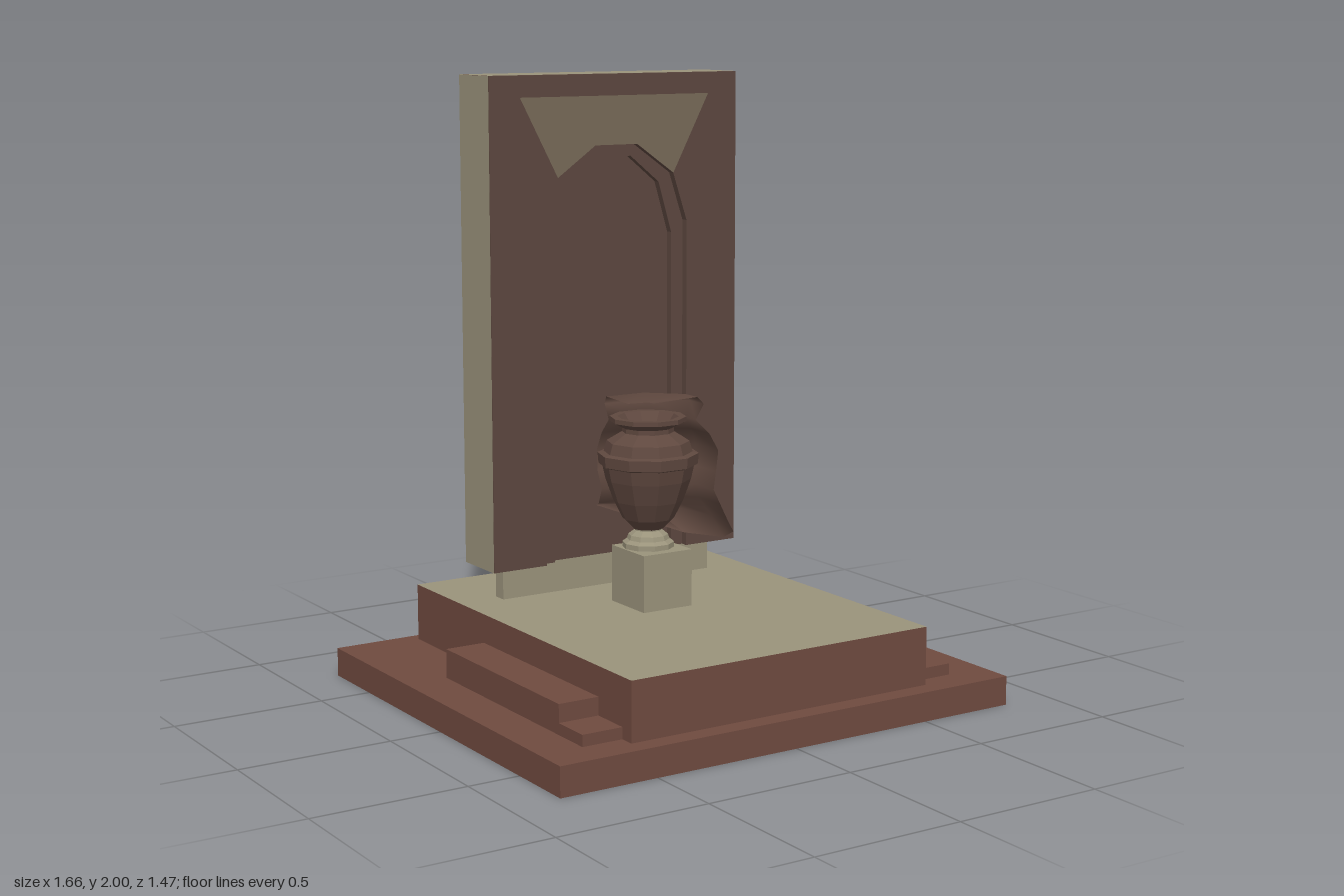
import * as THREE from 'three';

const mat = (color, extra = {}) =>
  new THREE.MeshStandardMaterial({ color, side: THREE.DoubleSide, ...extra });
const brick = mat(0x6f4a3f), stone = mat(0x9a937b), dark = mat(0x5c473f);
const blend = mat(0x776a58);
const vaseMat = mat(0x5f483f, { flatShading: true });
const footMat = mat(0x9a937b, { flatShading: true });
const clothMat = mat(0x5f483f);

const SIDES = [0, 1, 4, 5], TOP = [2];

export function createModel() {
  const model = new THREE.Group();

  const add = (name, geometry, material, parent = model) => {
    const mesh = new THREE.Mesh(geometry, material);
    mesh.name = name;
    parent.add(mesh);
    return mesh;
  };

  // Box given by its limits, keeping only the listed faces (+x -x +y -y +z -z)
  const box = (x0, x1, y0, y1, z0, z1, faces = [0, 1, 2, 3, 4, 5]) => {
    const g = new THREE.BoxGeometry(x1 - x0, y1 - y0, z1 - z0);
    const index = Array.from(g.index.array);
    g.setIndex(faces.flatMap(f => index.slice(f * 6, f * 6 + 6)));
    g.clearGroups();
    return g.translate((x0 + x1) / 2, (y0 + y1) / 2, (z0 + z1) / 2);
  };
  const polygon = pts => new THREE.Shape(pts.map(p => new THREE.Vector2(...p)));

  // Hollow base: rim walls and a top ring open under the platform
  add('baseSides', box(-0.83, 0.83, 0, 0.095, -0.735, 0.735, SIDES), brick);
  const ring = polygon([[-0.83, -0.735], [0.83, -0.735], [0.83, 0.735], [-0.83, 0.735]]);
  ring.holes.push(polygon([[-0.55, -0.67], [-0.55, 0.69], [0.55, 0.69], [0.55, -0.67]]));
  add('baseTop', new THREE.ShapeGeometry(ring).rotateX(-Math.PI / 2).translate(0, 0.095, 0), brick);

  // Platform, open below
  const platform = [-0.55, 0.55, 0.095, 0.285, -0.69, 0.67];
  add('platformSides', box(...platform, SIDES), brick);
  add('platformTop', box(...platform, TOP), stone);

  // Two steps along each flank
  for (const s of [-1, 1]) {
    const x0 = Math.min(s * 0.55, s * 0.687), x1 = Math.max(s * 0.55, s * 0.687);
    add('upperStep', box(x0, x1, 0.095, 0.19, -0.225, 0.485, [...SIDES, ...TOP]), brick);
    add('lowerStep', box(x0, x1, 0.095, 0.132, 0.485, 0.62, [...SIDES, ...TOP]), brick);
  }

  // Upright slab with a stepped arched recess on both faces
  const slab = new THREE.Group();
  slab.name = 'archedSlab';
  model.add(slab);
  add('slabPlinth', box(-0.405, 0.405, 0.285, 0.4, -0.405, -0.355), stone, slab);
  const W = 0.472, zFront = -0.292, zBack = -0.485, d = 0.025;
  const outer = [[0.275, 1.51], [0.222, 1.67], [0.08, 1.77]];
  const inner = [[0.23, 1.47], [0.18, 1.64], [0.07, 1.73]];
  const frame = half => {
    const right = [[half[0][0], 0.395], ...half];
    const left = right.map(([x, y]) => [-x, y]).reverse();
    return new THREE.ExtrudeGeometry(
      polygon([[W, 0.395], [W, 2], [-W, 2], [-W, 0.395], ...left.reverse(), ...right.reverse()]),
      { depth: d, bevelEnabled: false });
  };
  add('slabCore', box(-W, W, 0.395, 2, zBack + 2 * d, zFront - 2 * d), dark, slab);
  add('frontOuterFrame', frame(outer).translate(0, 0, zFront - d), dark, slab);
  add('frontInnerFrame', frame(inner).translate(0, 0, zFront - 2 * d), dark, slab);
  add('backOuterFrame', frame(outer).translate(0, 0, zBack), dark, slab);
  add('backInnerFrame', frame(inner).translate(0, 0, zBack + d), dark, slab);

  // Paler facings on the slab: top, one flank, and above each arch
  const e = 0.001;
  add('slabTop', box(-W, W, 0.395, 2 + e, zBack, zFront, TOP), stone, slab);
  add('slabFlank', box(-W - e, W, 0.395, 2, zBack, zFront, [1]), stone, slab);
  const spandrel = new THREE.ShapeGeometry(polygon([
    [-0.36, 1.93], [-0.222, 1.67], [-0.08, 1.77], [0.08, 1.77], [0.222, 1.67], [0.36, 1.93]]));
  add('frontSpandrel', spandrel.clone().translate(0, 0, zFront + e), blend, slab);
  add('backSpandrel', spandrel.clone().translate(0, 0, zBack - e), blend, slab);
  add('backEdgeFacing', new THREE.ShapeGeometry(polygon([
    [-W, 0.395], [-0.275, 0.395], [-0.275, 1.51], [-0.222, 1.67], [-W, 2]]))
    .translate(0, 0, zBack - e), blend, slab);

  // Pedestal and ten-sided urn
  add('pedestal', box(-0.11, 0.075, 0.285, 0.473, -0.15, 0.045), stone);
  const urn = new THREE.Group();
  urn.name = 'urn';
  urn.position.set(-0.02, 0, -0.07);
  model.add(urn);
  const lathe = pts => new THREE.LatheGeometry(
    pts.map(p => new THREE.Vector2(...p)), 10).rotateY(Math.PI / 10);
  add('urnFoot', lathe([[0, 0.473], [0.085, 0.473], [0.085, 0.49], [0.07, 0.5],
    [0.065, 0.515], [0.045, 0.53], [0.045, 0.545]]), footMat, urn);
  add('urnBody', lathe([[0, 0.535], [0.05, 0.535], [0.085, 0.57], [0.115, 0.63], [0.14, 0.7],
    [0.15, 0.745], [0.162, 0.75], [0.165, 0.785], [0.145, 0.79], [0.135, 0.825], [0.085, 0.855],
    [0.085, 0.87], [0.125, 0.89], [0.125, 0.905], [0.1, 0.905], [0.07, 0.865], [0.065, 0.82],
    [0, 0.8]]), vaseMat, urn);

  // Cloth over the urn's back corner: each row runs from the flank round to the back
  const rows = [[[0, 0.945, -0.065], [-0.02, 0.95, -0.07], [-0.06, 0.95, -0.075], [-0.09, 0.95, -0.08]]];
  const levels = [[0.955, 0.155, -0.215], [0.93, 0.18, -0.225], [0.88, 0.148, -0.2],
    [0.83, 0.2, -0.245], [0.77, 0.235, -0.275], [0.7, 0.225, -0.272],
    [0.64, 0.215, -0.245], [0.59, 0.24, -0.265]];
  levels.forEach(([y, x, z], i) => {
    const front = -0.045 + 0.0015 * i;
    rows.push([[x, y, front], [x, y, z + 0.1], [x - 0.1, y, z], [-0.09, y, z]]);
  });
  // Hem, lowest at the corner
  rows.push([[0.27, 0.53, -0.033], [0.27, 0.53, -0.13], [0.18, 0.55, -0.295], [-0.09, 0.58, -0.28]]);
  rows.push([[0.293, 0.49, -0.033], [0.293, 0.46, -0.09], [0.22, 0.46, -0.22], [0.1, 0.565, -0.275]]);
  const n = rows[0].length, index = [];
  for (let i = 0; i < rows.length - 1; i++)
    for (let j = 0; j < n - 1; j++) {
      const a = i * n + j, b = a + n;
      index.push(a, a + 1, b, a + 1, b + 1, b);
    }
  const cloth = new THREE.BufferGeometry();
  cloth.setAttribute('position', new THREE.Float32BufferAttribute(rows.flat(2), 3));
  cloth.setIndex(index.reverse());
  cloth.computeVertexNormals();
  add('drapedCloth', cloth, clothMat);

  return model;
}
